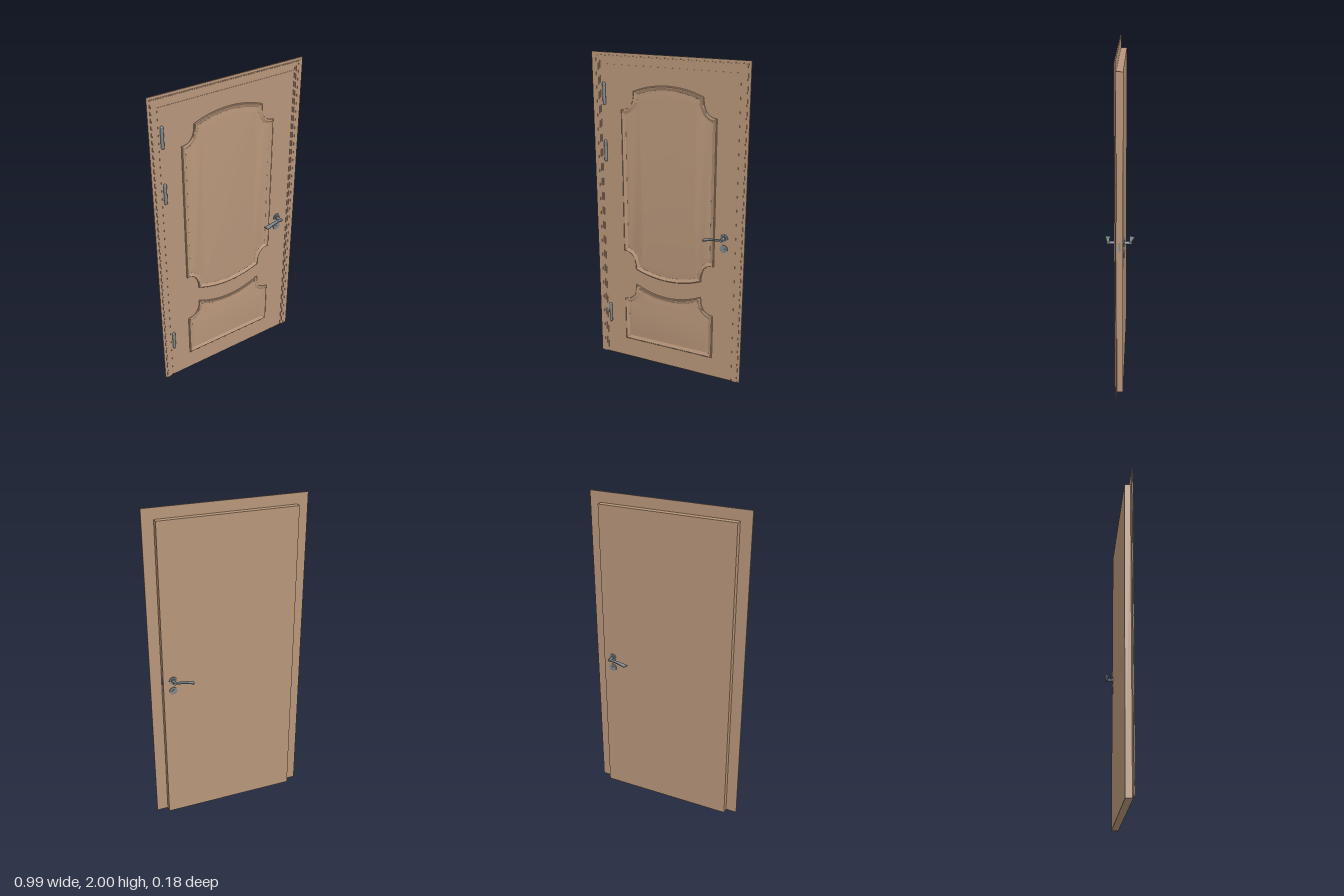
import * as THREE from 'three';
import { toCreasedNormals } from 'three/addons/utils/BufferGeometryUtils.js';

const wood = new THREE.MeshStandardMaterial({ color: 0xb8967a });
wood.name = 'wood';
const metal = new THREE.MeshStandardMaterial({ color: 0x7f868b });
metal.name = 'metal';

function add(parent, name, geometry, material, x = 0, y = 0, z = 0) {
  const mesh = new THREE.Mesh(geometry, material);
  mesh.name = name;
  mesh.position.set(x, y, z);
  parent.add(mesh);
  return mesh;
}

// Box given by half width, height and depth range, standing on the floor
function slab(parent, name, halfX, top, z0, z1) {
  add(parent, name, new THREE.BoxGeometry(halfX * 2, top, z1 - z0), wood, 0, top / 2, (z0 + z1) / 2);
}

// Door surround: two legs and a head, open at the floor
function surround(parent, name, outX, outTop, inX, inTop, z0, z1) {
  const shape = new THREE.Shape([
    [-outX, 0], [-inX, 0], [-inX, inTop], [inX, inTop],
    [inX, 0], [outX, 0], [outX, outTop], [-outX, outTop],
  ].map(([x, y]) => new THREE.Vector2(x, y)));
  add(parent, name, new THREE.ExtrudeGeometry(shape, { depth: z1 - z0, bevelEnabled: false }), wood, 0, 0, z0);
}

// Scooped right-hand corner and bowed edge, running from the side to the middle
function scoopedEdge(y, bow, dir) {
  const pts = [];
  const cx = 0.305, rx = 0.082, ry = 0.115, n = 10;
  for (let i = 0; i <= n; i++) {
    const a = (i / n) * Math.PI / 2;
    pts.push([cx - rx * Math.sin(a) ** 0.85, y - dir * ry * Math.max(0, Math.cos(a)) ** 0.85]);
  }
  const x0 = cx - rx;
  for (let i = 1; i <= 12; i++) {
    const x = x0 * (1 - i / 12);
    pts.push([x, y + bow * (1 - (x / x0) ** 2)]);
  }
  return pts;
}

// Mirror a right half (bottom to top) into a closed anticlockwise outline
function closeOutline(half) {
  const left = half.filter(p => p[0] > 1e-6).reverse().map(([x, y]) => [-x, y]);
  return [...half, ...left].map(([x, y]) => new THREE.Vector2(x, y));
}

// Move an outline inwards with mitred corners
function inset(pts, d) {
  const n = pts.length;
  return pts.map((p, i) => {
    const a = p.clone().sub(pts[(i + n - 1) % n]).normalize();
    const b = pts[(i + 1) % n].clone().sub(p).normalize();
    const n1 = new THREE.Vector2(-a.y, a.x), n2 = new THREE.Vector2(-b.y, b.x);
    const k = d / Math.max(0.3, 1 + n1.dot(n2));
    return p.clone().addScaledVector(n1.add(n2), k);
  });
}

// Moulding profile followed round an outline, closed by the raised field
function panelGeometry(outline) {
  const profile = [
    [0, 0.0188], [0.001, 0.024], [0.005, 0.0268], [0.011, 0.0268],
    [0.016, 0.0235], [0.021, 0.0225], [0.026, 0.0193], [0.03, 0.0193], [0.05, 0.0225],
  ];
  const n = outline.length, pos = [], idx = [];
  let last;
  for (const [d, z] of profile) {
    last = inset(outline, d);
    for (const p of last) pos.push(p.x, p.y, z);
  }
  for (let r = 0; r < profile.length - 1; r++) {
    for (let i = 0; i < n; i++) {
      const j = (i + 1) % n;
      const a = r * n + i, b = r * n + j;
      idx.push(a, b, b + n, a, b + n, a + n);
    }
  }
  const base = (profile.length - 1) * n;
  for (const f of THREE.ShapeUtils.triangulateShape(last, [])) idx.push(...f.map(i => base + i));
  const g = new THREE.BufferGeometry();
  g.setAttribute('position', new THREE.Float32BufferAttribute(pos, 3));
  g.setIndex(idx);
  return toCreasedNormals(g, 0.4);
}

// Flared, slightly drooping lever; side is +1 for the front, -1 for the back
function leverGeometry(side) {
  const g = new THREE.BoxGeometry(1, 1, 1, 10, 2, 4);
  const p = g.attributes.position;
  for (let i = 0; i < p.count; i++) {
    const u = 0.5 - p.getX(i), v = p.getY(i) * 2, w = p.getZ(i) * 2;
    const thick = (0.0075 - 0.0035 * u) * (1 - 0.4 * w * w);
    p.setXYZ(i,
      0.374 - 0.126 * u + 0.004 * u * w * side,
      0.963 - 0.015 * u * u + v * thick,
      side * (0.064 + 0.007 * u) + w * (0.008 + 0.009 * u * u));
  }
  g.computeVertexNormals();
  return toCreasedNormals(g, 0.6);
}

function handle(side) {
  const group = new THREE.Group();
  group.name = side > 0 ? 'frontHandle' : 'backHandle';
  const face = side > 0 ? 0.019 : -0.023;
  const disc = (name, r, depth, y) => {
    const m = add(group, name, new THREE.CylinderGeometry(r, r, depth, 28), metal, 0.365, y, face + side * depth / 2);
    m.rotation.x = Math.PI / 2;
  };
  disc('rosette', 0.024, 0.005, 0.962);
  disc('rosetteCollar', 0.014, 0.012, 0.962);
  disc('keyPlate', 0.024, 0.005, 0.893);
  disc('keyBarrel', 0.009, 0.007, 0.893);
  const end = side * 0.07;
  const stem = new THREE.CylinderGeometry(0.009, 0.009, Math.abs(end - face), 16);
  add(group, 'stem', stem, metal, 0.365, 0.962, (face + end) / 2).rotation.x = Math.PI / 2;
  add(group, 'lever', leverGeometry(side), metal);
  return group;
}

export function createModel() {
  const door = new THREE.Group();
  door.name = 'door';

  // Leaf and surround
  slab(door, 'leafCore', 0.425, 1.935, -0.023, 0.016);
  slab(door, 'backPlate', 0.4945, 1.9995, 0.014, 0.0175);
  slab(door, 'leafFace', 0.438, 1.932, 0.0145, 0.019);
  surround(door, 'casing', 0.495, 2, 0.443, 1.95, 0.0145, 0.0205);
  surround(door, 'casingBand', 0.48, 1.985, 0.452, 1.957, 0.02, 0.0235);
  surround(door, 'casingBead', 0.476, 1.981, 0.466, 1.971, 0.023, 0.0248);

  // Moulded panels
  const top = scoopedEdge(1.785, 0.045, 1);
  const bottom = scoopedEdge(0.65, -0.045, -1).reverse();
  add(door, 'upperPanel', panelGeometry(closeOutline([...bottom, ...top])), wood);
  const lower = [[0.305, 0.135], ...scoopedEdge(0.545, -0.055, 1)];
  add(door, 'lowerPanel', panelGeometry(closeOutline(lower)), wood);

  // Hinges
  for (const y of [1.758, 1.408, 0.303]) {
    add(door, 'hinge', new THREE.CapsuleGeometry(0.0095, 0.117, 6, 16), metal, -0.418, y, 0.0225);
  }

  // Handles and latch
  door.add(handle(1), handle(-1));
  add(door, 'latch', new THREE.BoxGeometry(0.006, 0.05, 0.012), metal, 0.425, 0.962, -0.002);
  return door;
}
